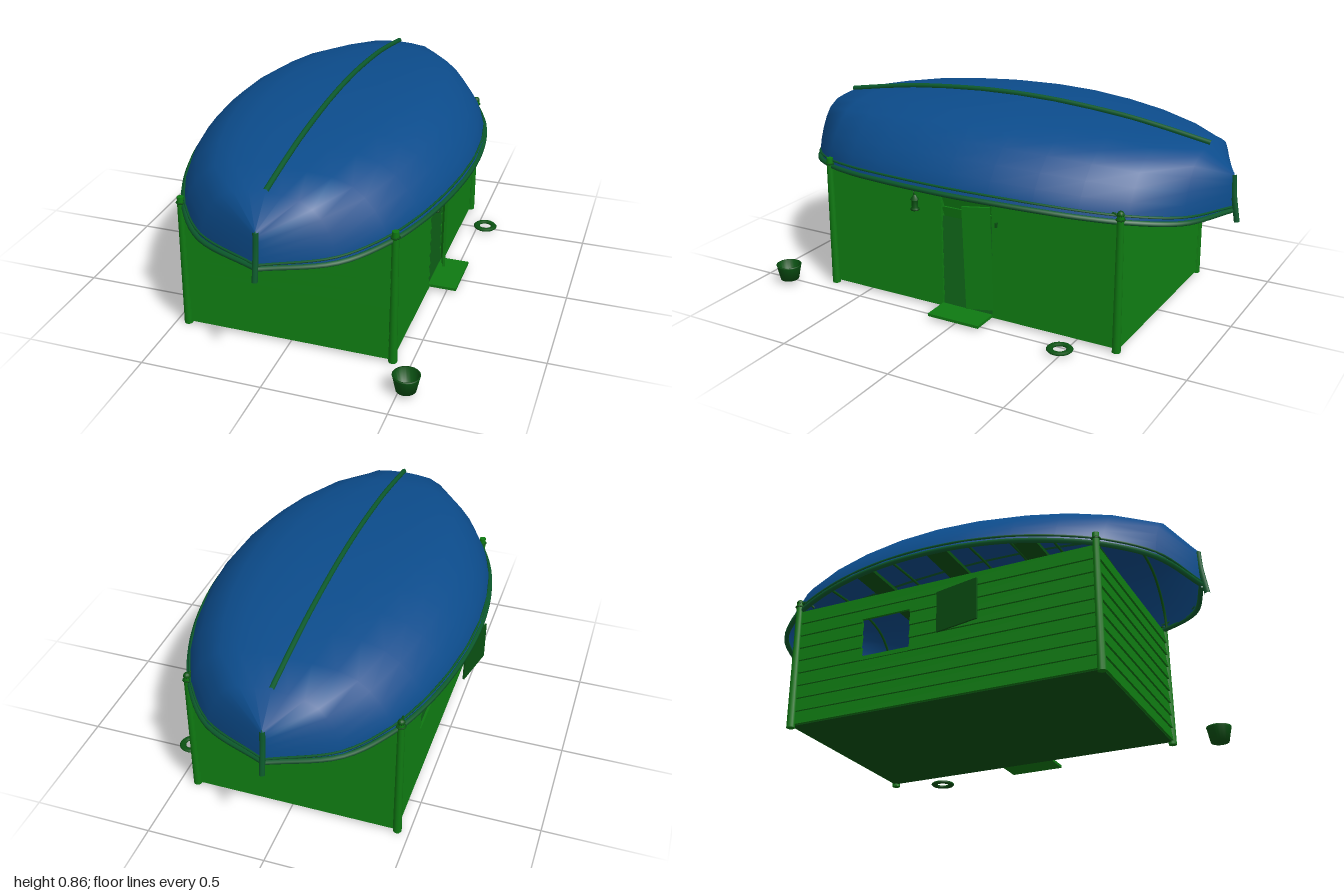
import * as THREE from 'three';

const GREEN = 0x0f7a12, DARK = 0x0a5212, RAIL = 0x0c5a2c, HULL = 0x0c4c8c;
const mat = (color, side = THREE.FrontSide) => new THREE.MeshStandardMaterial({ color, side });

function add(group, name, geo, color, pos = [0, 0, 0], rot = [0, 0, 0], side) {
  const mesh = new THREE.Mesh(geo, mat(color, side));
  mesh.name = name;
  mesh.position.set(...pos);
  mesh.rotation.set(...rot);
  group.add(mesh);
  return mesh;
}
const vec = (a) => new THREE.Vector3(...a);
const tube = (pts, r, seg = 24, sides = 6) =>
  new THREE.TubeGeometry(new THREE.CatmullRomCurve3(pts.map(vec)), seg, r, sides);

// Hull stations: z, half width, gunwale height, bottom height
const half = [[0, 0.585, 0.58, 0.845], [0.18, 0.575, 0.578, 0.841], [0.36, 0.545, 0.57, 0.829],
  [0.53, 0.495, 0.556, 0.812], [0.7, 0.415, 0.539, 0.786], [0.865, 0.27, 0.517, 0.757], [0.968, 0.004, 0.5, 0.655]];
const stations = [...half.slice(1).reverse().map(([z, ...r]) => [-z, ...r]), ...half];
// Cross-section of the overturned hull, as fractions of width and height
const section = [[1, 0], [0.985, 0.12], [0.95, 0.29], [0.88, 0.49], [0.78, 0.69], [0.665, 0.84], [0.475, 0.95], [0.24, 0.985], [0, 1]];
const ring = [...section, ...section.slice(0, -1).reverse().map(([x, y]) => [-x, y])];

function hullGeometry() {
  const pos = [], index = [], n = ring.length;
  stations.forEach(([z, w, g, t]) => ring.forEach(([x, y]) => pos.push(x * w, g + (t - g) * y, z)));
  for (let i = 0; i < stations.length - 1; i++)
    for (let j = 0; j < n - 1; j++) {
      const a = i * n + j, b = a + n;
      index.push(a, b, a + 1, b, b + 1, a + 1);
    }
  const geo = new THREE.BufferGeometry();
  geo.setAttribute('position', new THREE.Float32BufferAttribute(pos, 3));
  geo.setIndex(index);
  geo.computeVertexNormals();
  return geo;
}

function buildBoat() {
  const boat = new THREE.Group();
  boat.name = 'overturnedBoatRoof';
  boat.position.x = -0.01;
  add(boat, 'hull', hullGeometry(), HULL, [0, 0, 0], [0, 0, 0], THREE.DoubleSide);
  // Gunwale and a rubbing strake on each side
  for (const s of [-1, 1]) {
    add(boat, 'gunwale', tube(stations.map(([z, w, g]) => [s * w, g, z]), 0.011, 60), RAIL);
    add(boat, 'rubbingStrake', tube(stations.map(([z, w, g, t]) =>
      [s * w * 0.99, g + (t - g) * 0.1, z]), 0.005, 60, 5), RAIL);
  }
  // Keel along the top
  const keelPts = stations.slice(1, -1).map(([z, , , t]) => [0, t + 0.006, z]);
  add(boat, 'keel', tube(keelPts, 0.011, 40, 8), RAIL);
  // Stem at each end
  for (const s of [-1, 1])
    add(boat, 'stem', tube([[0, 0.65, s * 0.966], [0, 0.58, s * 0.97], [0, 0.455, s * 0.99]], 0.012, 10, 8), RAIL);
  // Ribs and seats inside
  stations.slice(2, -2).forEach(([z, w, g, t]) =>
    add(boat, 'rib', tube(ring.map(([x, y]) => [x * w * 0.98, g + (t - g - 0.01) * y, z]), 0.006, 30, 5), DARK));
  for (const z of [-0.36, 0, 0.36])
    add(boat, 'thwart', new THREE.BoxGeometry(0.98, 0.015, 0.09), DARK, [0, 0.65, z]);
  return boat;
}

const ROW = 0.0575, ROWS = 9, BASE = 0.015;

// Lapped boards along local x, facing local +z; the hole is [from, to, bottom, top]
function buildWall(name, length, hole) {
  const wall = new THREE.Group();
  wall.name = name;
  const board = (x0, x1, y0, y1) => {
    if (y1 - y0 < 0.004) return;
    add(wall, 'board', new THREE.BoxGeometry(x1 - x0, y1 - y0 + 0.004, 0.01), GREEN,
      [(x0 + x1) / 2, (y0 + y1) / 2, 0], [-0.14, 0, 0]);
  };
  for (let i = 0; i < ROWS; i++) {
    const y0 = BASE + i * ROW, y1 = y0 + ROW;
    if (!hole || y1 <= hole[2] || y0 >= hole[3]) {
      board(-length / 2, length / 2, y0, y1);
      continue;
    }
    board(-length / 2, hole[0], y0, y1);
    board(hole[1], length / 2, y0, y1);
    board(hole[0], hole[1], y0, Math.max(y0, hole[2]));
    board(hole[0], hole[1], Math.min(y1, hole[3]), y1);
  }
  return wall;
}

function buildCabin() {
  const cabin = new THREE.Group();
  cabin.name = 'cabin';
  cabin.position.x = -0.012;
  const X = 0.43, Z = 0.68;
  const place = (wall, x, z, turn) => {
    wall.position.set(x, 0, z);
    wall.rotation.y = turn;
    cabin.add(wall);
  };
  place(buildWall('frontWall', 2 * X), 0, Z, 0);
  place(buildWall('backWall', 2 * X), 0, -Z, Math.PI);
  place(buildWall('doorWall', 2 * Z, [-0.12, 0.12, 0.02, 0.51]), X, 0, Math.PI / 2);
  place(buildWall('windowWall', 2 * Z, [-0.36, -0.135, 0.26, 0.43]), -X, 0, -Math.PI / 2);
  add(cabin, 'floor', new THREE.BoxGeometry(2 * X, 0.012, 2 * Z), DARK, [0, 0.016, 0]);
  for (const x of [-X - 0.008, X + 0.008])
    for (const z of [-Z, Z]) {
      add(cabin, 'cornerPost', new THREE.CylinderGeometry(0.014, 0.018, 0.58, 10), GREEN, [x, 0.29, z]);
      // Lashing between post and boat
      add(cabin, 'lashing', new THREE.TorusGeometry(0.016, 0.004, 5, 12), DARK, [x, 0.555, z], [Math.PI / 2, 0, 0]);
      if (z < 0) {
        add(cabin, 'rope', tube([[x, 0.56, z], [x * 0.995, 0.575, z + 0.03], [x * 0.95, 0.55, z + 0.06]], 0.005, 8, 5), DARK);
        add(cabin, 'postKnob', new THREE.SphereGeometry(0.015, 10, 8), DARK, [x, 0.575, z]);
      }
    }
  // Door ajar, hinged at the rear jamb
  const door = new THREE.Group();
  door.name = 'door';
  door.position.set(X + 0.004, 0.27, -0.118);
  door.rotation.set(0, 0.3, 0);
  add(door, 'doorLeaf', new THREE.BoxGeometry(0.012, 0.45, 0.115), GREEN, [0, 0, 0.058], [0.03, 0, 0]);
  cabin.add(door);
  add(cabin, 'doorLatch', new THREE.BoxGeometry(0.015, 0.02, 0.008), DARK, [X + 0.01, 0.43, -0.145]);
  add(cabin, 'doorstep', new THREE.BoxGeometry(0.12, 0.012, 0.24), GREEN, [X + 0.065, 0.02, 0]);
  // Shutter standing off the wall
  add(cabin, 'shutter', new THREE.BoxGeometry(0.008, 0.175, 0.2), DARK, [-0.543, 0.34, 0.135], [0, -0.22, 0]);
  return cabin;
}

function buildLantern() {
  const lantern = new THREE.Group();
  lantern.name = 'lantern';
  lantern.position.set(0.465, 0.44, 0.22);
  const profile = [[0, 0], [0.018, 0], [0.018, 0.008], [0.013, 0.012], [0.013, 0.042], [0.019, 0.046], [0.006, 0.066], [0, 0.068]];
  add(lantern, 'lanternBody', new THREE.LatheGeometry(profile.map((p) => new THREE.Vector2(...p)), 10), DARK);
  add(lantern, 'lanternHook', tube([[0, 0.065, 0], [0.008, 0.078, 0], [-0.004, 0.09, 0], [-0.04, 0.085, 0]], 0.003, 12, 5), DARK);
  return lantern;
}

export function createModel() {
  const model = new THREE.Group();
  model.name = 'boatRoofCabin';
  model.add(buildBoat(), buildCabin(), buildLantern());
  // Open bucket with a thick wall
  const bucket = [[0, 0], [0.04, 0], [0.053, 0.062], [0.055, 0.068], [0.049, 0.068], [0.037, 0.008], [0, 0.008]];
  add(model, 'bucket', new THREE.LatheGeometry(bucket.map((p) => new THREE.Vector2(...p)), 20), DARK,
    [0.53, 0.018, 0.86], [0, 0, 0], THREE.DoubleSide);
  // Ring lying on the ground
  const lifeRing = add(model, 'lifeRing', new THREE.TorusGeometry(0.04, 0.014, 8, 24), DARK, [0.54, 0.018, -0.49], [Math.PI / 2, 0, 0]);
  lifeRing.scale.z = 0.5;
  return model;
}
